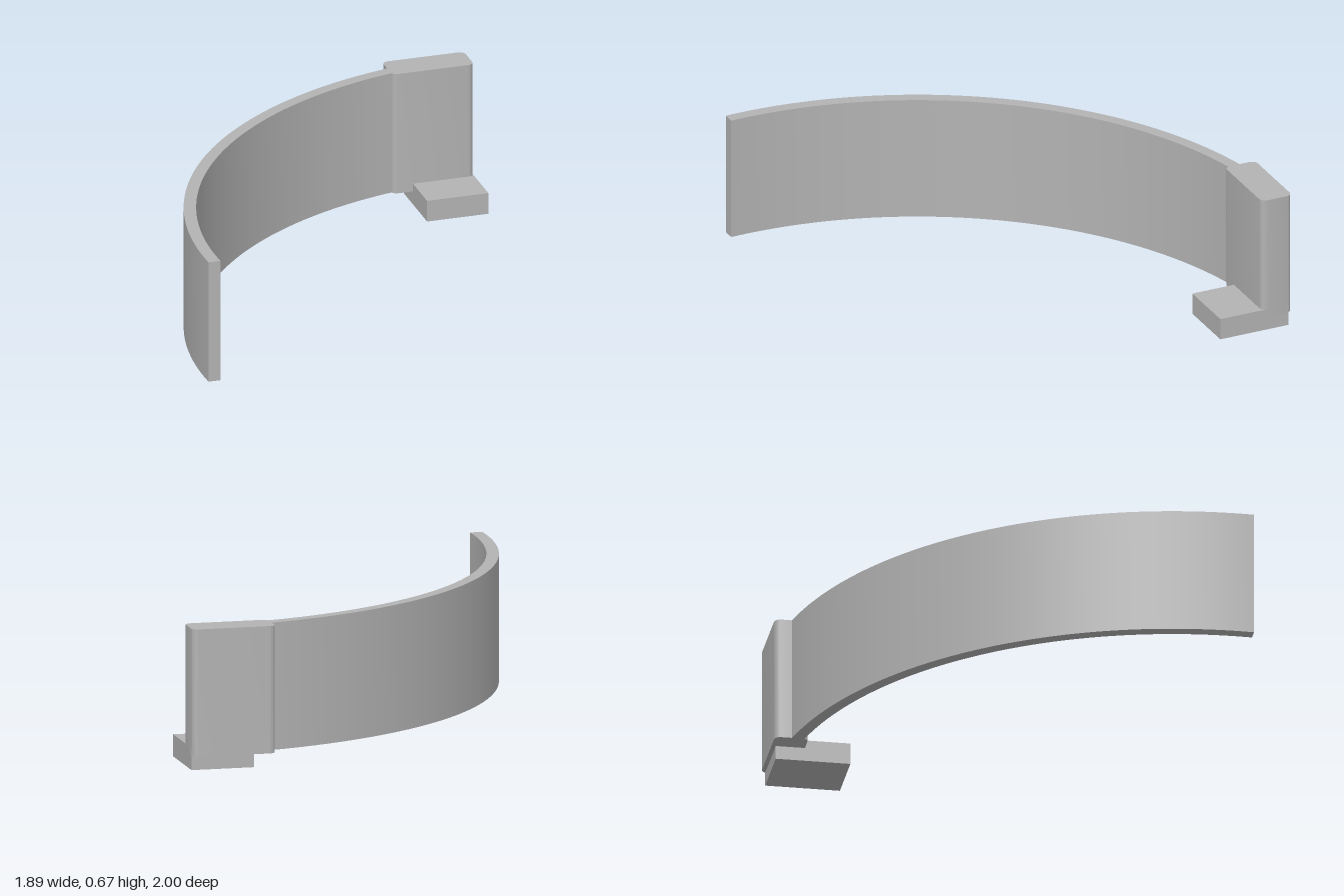
import * as THREE from 'three';
import { toCreasedNormals } from 'three/addons/utils/BufferGeometryUtils.js';

const BASE = 0.065, HEIGHT = 0.6;

// Plan outline (x, -z) raised into an upright solid
function upright(shape, curveSegments) {
  const geo = new THREE.ExtrudeGeometry(shape, { depth: HEIGHT, bevelEnabled: false, curveSegments });
  geo.rotateX(-Math.PI / 2);
  geo.translate(0, BASE, 0);
  return toCreasedNormals(geo, 0.5);
}

function roundedRect(x0, y0, x1, y1, r) {
  const s = new THREE.Shape();
  s.absarc(x1 - r, y1 - r, r, 0, Math.PI / 2);
  s.absarc(x0 + r, y1 - r, r, Math.PI / 2, Math.PI);
  s.absarc(x0 + r, y0 + r, r, Math.PI, Math.PI * 1.5);
  s.absarc(x1 - r, y0 + r, r, Math.PI * 1.5, Math.PI * 2);
  s.closePath();
  return s;
}

export function createModel() {
  const group = new THREE.Group();
  const grey = new THREE.MeshStandardMaterial({ color: 0xb3b3b3 });
  grey.name = 'light grey';
  const add = (name, geo) => {
    const mesh = new THREE.Mesh(geo, grey);
    mesh.name = name;
    group.add(mesh);
    return mesh;
  };

  // Curved band: a thin arc, cut square at the front, its other end set in the bracket
  const cx = 0.945, cy = -0.927, outer = 1.89, inner = 1.832, end = 1.754;
  const start = (r) => Math.PI + Math.asin(0.073 / r);
  const arc = new THREE.Shape();
  arc.absarc(cx, cy, outer, start(outer), end, true);
  arc.absarc(cx, cy, inner, end, start(inner), false);
  arc.closePath();
  add('curvedBand', upright(arc, 48));

  // End bracket with rounded vertical edges
  add('endBracket', upright(roundedRect(0.545, 0.843, 0.943, 1, 0.03), 6));

  // Foot under the bracket, reaching forward
  add('foot', new THREE.BoxGeometry(0.298, 0.104, 0.35)).position.set(0.794, 0.052, -0.805);

  return group;
}
